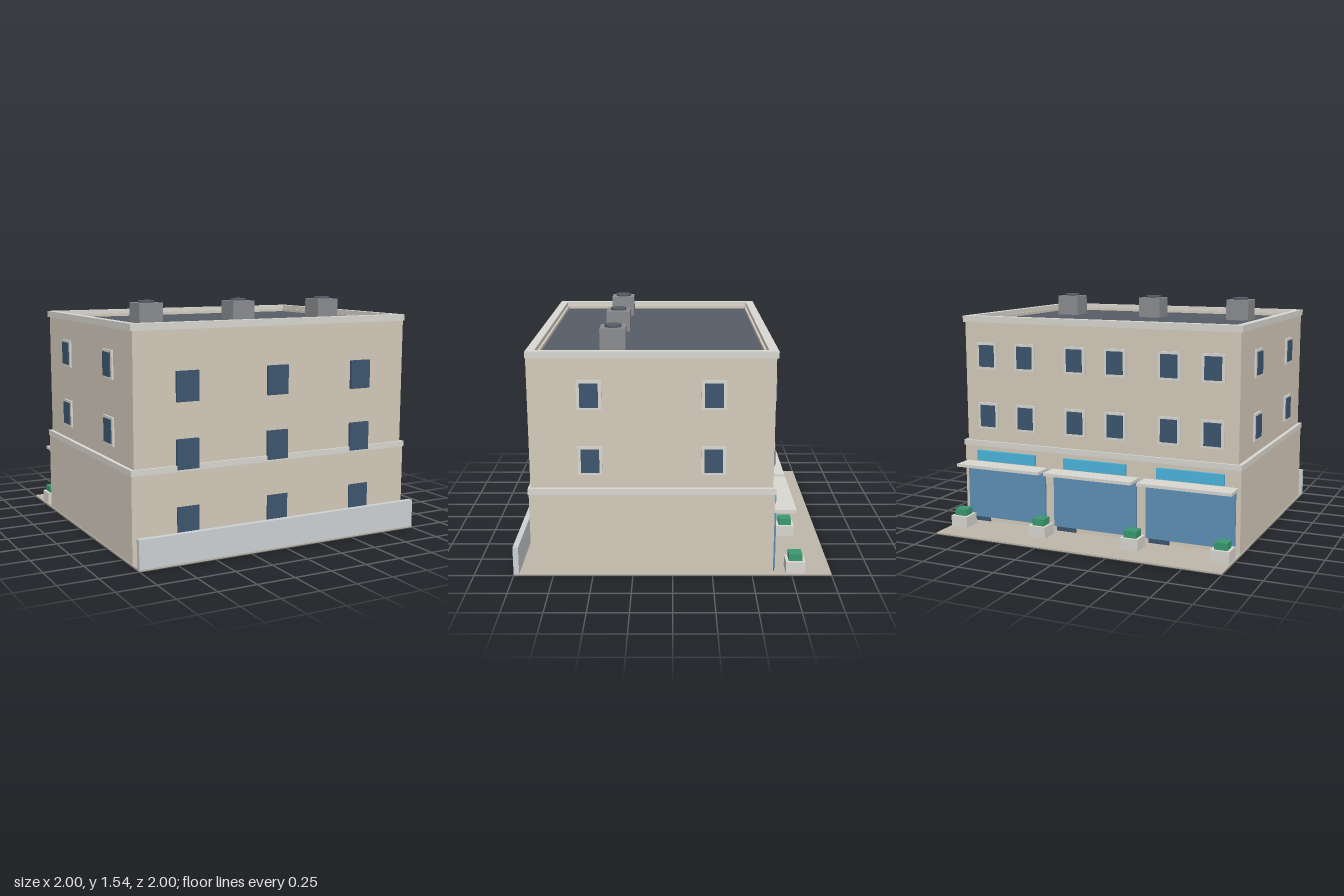
import * as THREE from 'three';

const material = (color) => new THREE.MeshStandardMaterial({ color });

export function createModel() {
  const model = new THREE.Group();
  model.name = 'shopBuilding';

  const wall = material(0xd5cbbc);
  const trim = material(0xd9d8d1);
  const pane = material(0x3d566e);
  const roofGrey = material(0x575d68);
  const ventGrey = material(0x8b8d90);
  const paving = material(0xbdb8aa);
  const fence = material(0xced2d5);
  const shopGlass = material(0x5f8fb8);
  const signBlue = material(0x4cb5dc);
  const leaf = material(0x3a9a70);

  const add = (name, geometry, mat, parent = model) => {
    const mesh = new THREE.Mesh(geometry, mat);
    mesh.name = name;
    parent.add(mesh);
    return mesh;
  };

  // Box given by its limits on each axis
  const box = (name, mat, [x0, x1], [y0, y1], [z0, z1], parent) => {
    const mesh = add(name, new THREE.BoxGeometry(x1 - x0, y1 - y0, z1 - z0), mat, parent);
    mesh.position.set((x0 + x1) / 2, (y0 + y1) / 2, (z0 + z1) / 2);
    return mesh;
  };
  const span = (centre, size) => [centre - size / 2, centre + size / 2];

  // Rectangular ring lying flat, with an open middle
  const rectangle = (path, x, z0, z1) => path
    .moveTo(-x, -z1).lineTo(x, -z1).lineTo(x, -z0).lineTo(-x, -z0).closePath();
  const ring = (name, mat, outer, inner, [y0, y1]) => {
    const shape = new THREE.Shape();
    rectangle(shape, ...outer);
    const hole = new THREE.Path();
    rectangle(hole, ...inner);
    shape.holes.push(hole);
    const geometry = new THREE.ExtrudeGeometry(shape, { depth: y1 - y0, bevelEnabled: false });
    geometry.rotateX(-Math.PI / 2);
    add(name, geometry, mat).position.y = y0;
  };

  // Site
  box('pavement', paving, [-1, 1], [0, 0.01], [-1, 1]);
  box('frontFence', fence, [-1, 1], [0, 0.19], [0.965, 1]);

  // Storeys and bands
  box('groundFloor', wall, [-0.995, 0.995], [0.005, 0.545], [-0.63, 0.885]);
  box('stringCourse', trim, [-1, 1], [0.54, 0.577], [-0.636, 0.89]);
  box('upperFloors', wall, [-0.975, 0.975], [0.57, 1.37], [-0.62, 0.875]);

  // Flat roof inside a coped parapet
  box('roof', roofGrey, [-0.93, 0.93], [1.36, 1.385], [-0.565, 0.815]);
  ring('parapet', wall, [0.975, -0.62, 0.875], [0.925, -0.56, 0.81], [1.37, 1.405]);
  ring('coping', trim, [0.987, -0.632, 0.877], [0.938, -0.574, 0.824], [1.39, 1.432]);

  // Roof vents
  for (const x of [-0.663, 0, 0.663]) {
    const vent = new THREE.Group();
    vent.name = 'roofVent';
    vent.position.set(x, 0, 0.37);
    model.add(vent);
    box('ventBox', ventGrey, span(0, 0.16), [1.38, 1.525], span(0, 0.16), vent);
    add('ventCap', new THREE.CylinderGeometry(0.054, 0.054, 0.02, 24), roofGrey, vent)
      .position.y = 1.53;
  }

  // Plain windows on the front
  for (const x of [-0.627, 0, 0.627]) {
    for (const y of [0.23, 0.643, 1.053]) {
      box('frontWindow', pane, span(x, 0.147), span(y, 0.185), [0.86, 0.893]);
    }
  }

  // Framed window facing local +z
  const framedWindow = (name, x, y, z, turn) => {
    const group = new THREE.Group();
    group.name = name;
    group.position.set(x, y, z);
    group.rotation.y = turn;
    box('windowFrame', trim, span(0, 0.152), span(0, 0.18), [-0.01, 0.012], group);
    box('windowPane', pane, span(0, 0.112), span(0, 0.148), [0, 0.02], group);
    model.add(group);
  };
  for (const y of [0.754, 1.165]) {
    for (const side of [-1, 1]) {
      for (const z of [-0.25, 0.503]) {
        framedWindow('sideWindow', side * 0.975, y, z, side * Math.PI / 2);
      }
      for (const x of [-0.66, 0, 0.66]) {
        framedWindow('backWindow', x + side * 0.145, y, -0.62, Math.PI);
      }
    }
  }

  // Three shops along the back
  for (const x of [-0.665, 0, 0.665]) {
    box('shopWindow', shopGlass, span(x, 0.6), [0.04, 0.41], [-0.645, -0.62]);
    box('shopDoor', pane, span(x + 0.21, 0.14), [0, 0.35], [-0.642, -0.625]);
    box('shopSign', signBlue, span(x, 0.45), [0.44, 0.512], [-0.65, -0.62]);
    box('shopCanopy', trim, span(x, 0.627), [0.412, 0.432], [-0.768, -0.625]);
  }

  // Planters on the pavement
  for (const x of [-0.93, -0.33, 0.33, 0.93]) {
    box('planter', trim, span(x, 0.122), [0.005, 0.085], span(-0.774, 0.122));
    box('planterShrub', leaf, span(x, 0.084), [0.08, 0.13], span(-0.774, 0.084));
  }

  return model;
}
